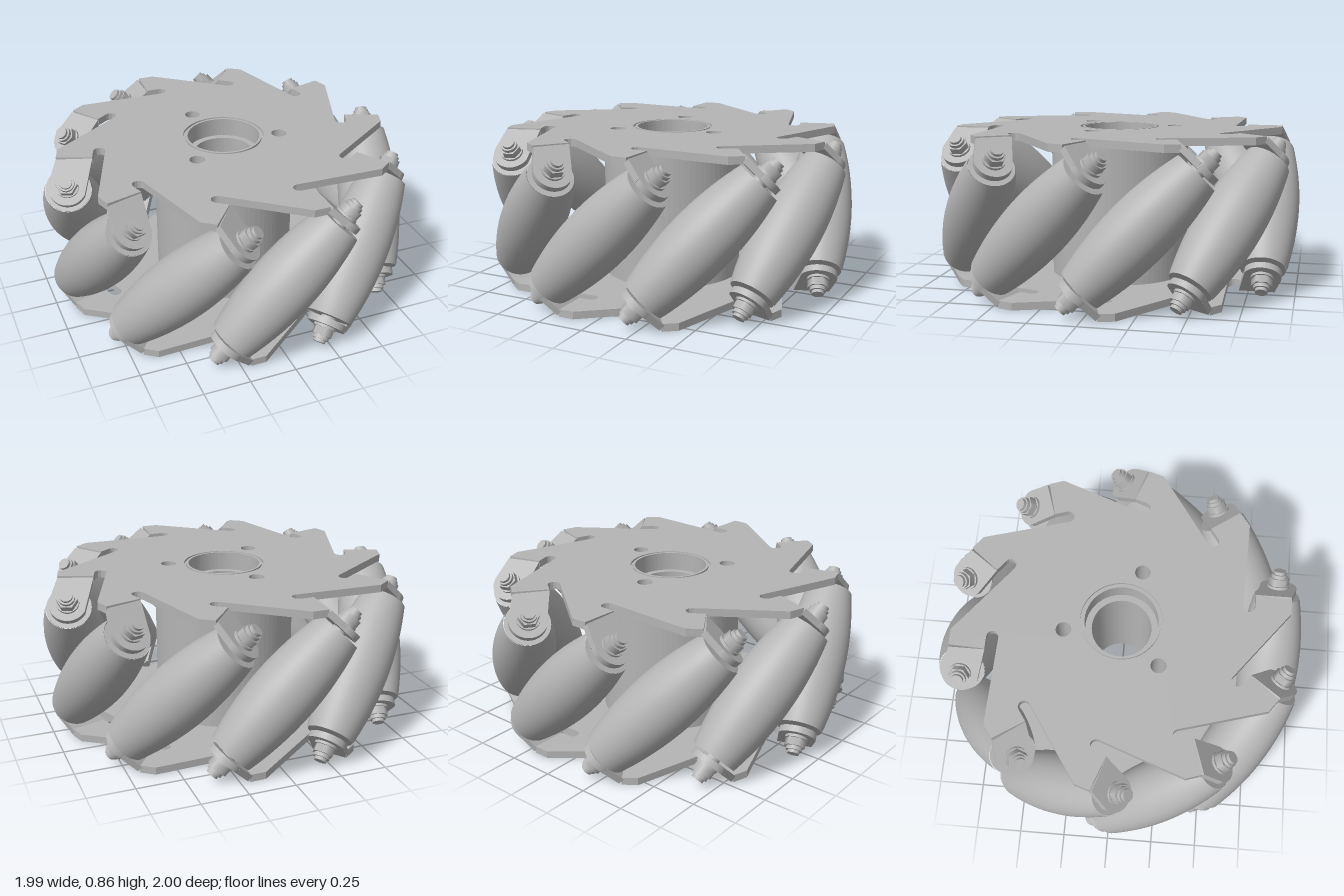
import * as THREE from 'three';

const COUNT = 10, STEP = Math.PI * 2 / COUNT;
const HEIGHT = 0.86, MID = HEIGHT / 2, AXIS_R = 0.83, HALF = 0.4;

const metal = new THREE.MeshStandardMaterial({ color: 0xb4b4b4 });
metal.name = 'grey metal';

function mesh(name, geometry) {
  const m = new THREE.Mesh(geometry, metal);
  m.name = name;
  return m;
}

// Extrudes a plan shape (x, -z) upwards from y0
function slab(shape, y0, depth, curveSegments = 24) {
  const g = new THREE.ExtrudeGeometry(shape, { depth, bevelEnabled: false, curveSegments });
  g.rotateX(-Math.PI / 2);
  g.translate(0, y0, 0);
  return g;
}

function hole(x, z, r) {
  const p = new THREE.Path();
  p.absarc(x, -z, r, 0, Math.PI * 2, true);
  return p;
}

const boltHoles = () => [[-0.07, -0.3], [0.29, 0.09], [-0.23, 0.21]].map(([x, z]) => hole(x, z, 0.041));

// Pinwheel plate with one slotted arm per roller; dir = -1 mirrors the arms
function plateShape(dir) {
  const sector = [[0.116, 0.89], [0.2, 0.89], [0.21, 0.7]];
  for (let i = 0; i <= 6; i++) {
    const a = Math.PI * i / 6;
    sector.push([0.14 - 0.032 * Math.sin(a), 0.667 + 0.032 * Math.cos(a)]);
  }
  const points = [];
  for (let k = 0; k < COUNT; k++) {
    const c = Math.cos(k * STEP), s = Math.sin(k * STEP);
    for (const [x, z] of sector) points.push(new THREE.Vector2(dir * (x * c + z * s), x * s - z * c));
  }
  const shape = new THREE.Shape(points);
  shape.holes.push(hole(0, 0, 0.22), ...boltHoles());
  return shape;
}

// Barrel roller whose bulge follows the wheel's outer circle
function rollerGeometry() {
  const barrel = [];
  for (let i = 0; i <= 20; i++) {
    const s = -HALF + 2 * HALF * i / 20;
    barrel.push(new THREE.Vector2(1 - Math.hypot(AXIS_R, s * Math.SQRT1_2), s));
  }
  return new THREE.LatheGeometry(barrel, 40);
}

// Bent tab with a rounded tip, square to the roller axle
function tabGeometry() {
  const s = new THREE.Shape();
  s.moveTo(-0.15, 0.13);
  s.lineTo(-0.15, -0.06);
  s.lineTo(-0.04, -0.092);
  s.absarc(0, 0, 0.1, -1.98, 1.1, false);
  s.closePath();
  return slab(s, 0.415, 0.035, 16);
}

function cylinder(name, r, y0, y1, sides) {
  const g = new THREE.CylinderGeometry(r, r, y1 - y0, sides);
  g.translate(0, (y0 + y1) / 2, 0);
  return mesh(name, g);
}

export function createModel() {
  const wheel = new THREE.Group();
  wheel.name = 'rollerWheel';

  // Side plates
  wheel.add(mesh('topPlate', slab(plateShape(1), HEIGHT - 0.04, 0.04)));
  wheel.add(mesh('bottomPlate', slab(plateShape(-1), 0, 0.04)));

  // Hub drum with through holes
  const drum = new THREE.Shape();
  drum.absarc(0, 0, 0.38, 0, Math.PI * 2, false);
  drum.holes.push(hole(0, 0, 0.22), ...boltHoles());
  wheel.add(mesh('hub', slab(drum, 0.04, HEIGHT - 0.08, 40)));

  // Stepped bearing sleeve: closed ring profile, one flat-to-flat piece per step
  const ring = (name, inner, outer, y0, y1) => {
    const s = new THREE.Shape();
    s.absarc(0, 0, outer, 0, Math.PI * 2, false);
    s.holes.push(hole(0, 0, inner));
    wheel.add(mesh(name, slab(s, y0, y1 - y0, 32)));
  };
  ring('sleeve', 0.195, 0.22, 0.012, HEIGHT - 0.012);
  ring('topCollar', 0.195, 0.208, HEIGHT - 0.012, HEIGHT);
  ring('bottomCollar', 0.195, 0.208, 0, 0.012);
  ring('bore', 0.16, 0.195, 0.1, HEIGHT - 0.1);

  // Tab and fasteners at one end of a roller
  const end = new THREE.Group();
  end.name = 'rollerEnd';
  end.add(
    mesh('tab', tabGeometry()),
    cylinder('endCap', 0.12, HALF - 0.004, HALF, 40),
    cylinder('axle', 0.04, HALF, 0.45, 16),
    cylinder('washer', 0.06, 0.45, 0.464, 20),
    cylinder('nut', 0.056, 0.464, 0.505, 6),
    cylinder('collar', 0.043, 0.505, 0.525, 16),
    cylinder('boltTip', 0.033, 0.525, 0.542, 16)
  );

  // Ring of rollers tilted at 45 degrees
  const barrel = rollerGeometry();
  for (let k = 0; k < COUNT; k++) {
    const pivot = new THREE.Group();
    pivot.name = 'rollerMount';
    pivot.rotation.y = k * STEP;
    const tilted = new THREE.Group();
    tilted.name = 'rollerAssembly';
    tilted.position.set(0, MID, AXIS_R);
    tilted.rotation.z = -Math.PI / 4;
    const far = end.clone();
    far.rotation.z = Math.PI;
    tilted.add(mesh('roller', barrel), end.clone(), far);
    pivot.add(tilted);
    wheel.add(pivot);
  }
  return wheel;
}
